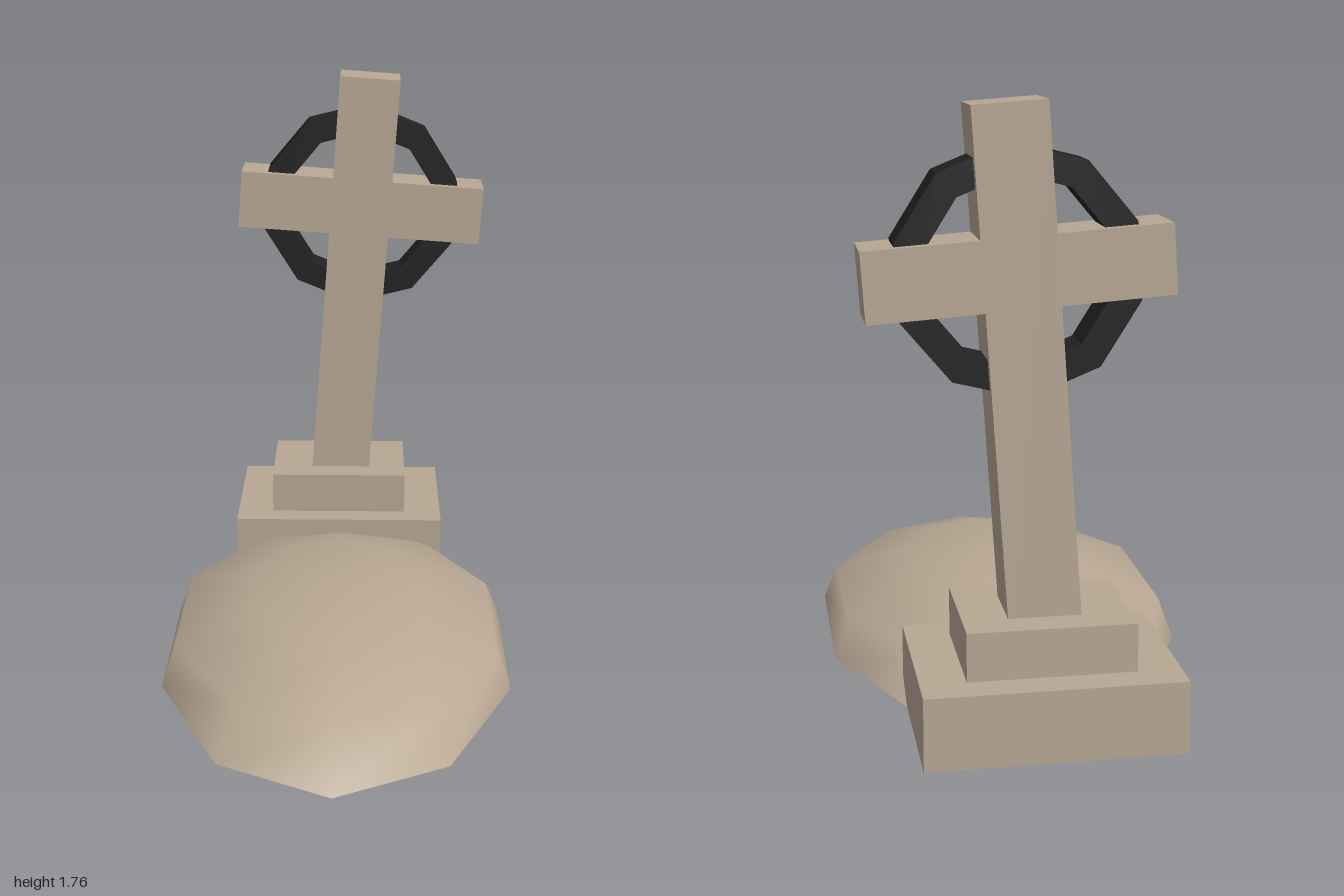
import * as THREE from 'three';

const stone = new THREE.MeshStandardMaterial({ color: 0xb8a793 });
stone.name = 'weathered stone';
const iron = new THREE.MeshStandardMaterial({ color: 0x222222 });
iron.name = 'dark iron';

function box(name, w, h, d, x, y, z) {
  const mesh = new THREE.Mesh(new THREE.BoxGeometry(w, h, d), stone);
  mesh.name = name;
  mesh.position.set(x, y, z);
  return mesh;
}

function polygon(Type, radius, sides, start) {
  const points = [];
  for (let i = 0; i < sides; i++) {
    const a = start + (i / sides) * Math.PI * 2;
    points.push(new THREE.Vector2(Math.cos(a) * radius, Math.sin(a) * radius));
  }
  return new Type(points);
}

// Low ten-sided dome with smooth normals and a flat underside
function createMound() {
  const sides = 10, rx = 0.573, rz = 0.9;
  const rings = [
    { side: 1, end: 1, y: 0 },
    { side: 0.935, end: 0.8, y: 0.118 },
    { side: 0.5, end: 0.48, y: 0.2 },
  ];
  const pos = [], index = [], outline = [];
  rings.forEach((ring, r) => {
    for (let i = 0; i < sides; i++) {
      const a = (i / sides) * Math.PI * 2;
      const s = Math.sin(a), c = Math.cos(a);
      const k = ring.side * s * s + ring.end * c * c;
      // One flank sits slightly lower than the other
      const y = ring.y - (r === 1 ? 0.008 * s : 0);
      pos.push(s * rx * k, y, c * rz * k);
      if (r === 0) outline.push(s * rx, 0, c * rz);
    }
  });
  const top = rings.length * sides;
  pos.push(0, 0.235, 0);
  for (let r = 0; r < rings.length; r++) {
    for (let i = 0; i < sides; i++) {
      const j = (i + 1) % sides;
      const a = r * sides + i, b = r * sides + j;
      if (r === rings.length - 1) index.push(a, b, top);
      else index.push(a, b, b + sides, a, b + sides, a + sides);
    }
  }
  const domeGeo = new THREE.BufferGeometry();
  domeGeo.setAttribute('position', new THREE.Float32BufferAttribute(pos, 3));
  domeGeo.setIndex(index);
  domeGeo.computeVertexNormals();

  const capGeo = new THREE.BufferGeometry();
  capGeo.setAttribute('position', new THREE.Float32BufferAttribute(outline, 3));
  const capIndex = [];
  for (let i = 1; i < sides - 1; i++) capIndex.push(0, i + 1, i);
  capGeo.setIndex(capIndex);
  capGeo.computeVertexNormals();

  const mound = new THREE.Group();
  mound.name = 'mound';
  const dome = new THREE.Mesh(domeGeo, stone);
  dome.name = 'moundTop';
  const cap = new THREE.Mesh(capGeo, stone);
  cap.name = 'moundUnderside';
  mound.add(dome, cap);
  mound.position.set(-0.005, 0, 0.1);
  return mound;
}

// Leaning cross with a faceted ring behind its arms
function createCross() {
  const cross = new THREE.Group();
  cross.name = 'leaningCross';
  cross.add(box('shaft', 0.206, 1.508, 0.18, 0, -0.306, 0));
  cross.add(box('arms', 0.84, 0.195, 0.179, 0, 0, 0));

  const depth = 0.125, start = Math.PI / 10;
  const shape = polygon(THREE.Shape, 0.345, 10, start);
  shape.holes.push(polygon(THREE.Path, 0.262, 10, start));
  const geo = new THREE.ExtrudeGeometry(shape, { depth, bevelEnabled: false });
  geo.translate(0, 0, -depth / 2);
  const ring = new THREE.Mesh(geo, iron);
  ring.name = 'ring';
  cross.add(ring);

  cross.position.set(0.0625, 1.31, -0.73);
  cross.rotation.z = -0.071;
  return cross;
}

export function createModel() {
  const model = new THREE.Group();
  model.name = 'graveMarker';
  model.add(box('plinth', 0.73, 0.21, 0.53, -0.01, 0.105, -0.735));
  model.add(box('plinthStep', 0.475, 0.14, 0.36, -0.012, 0.28, -0.73));
  model.add(createCross());
  model.add(createMound());
  return model;
}
